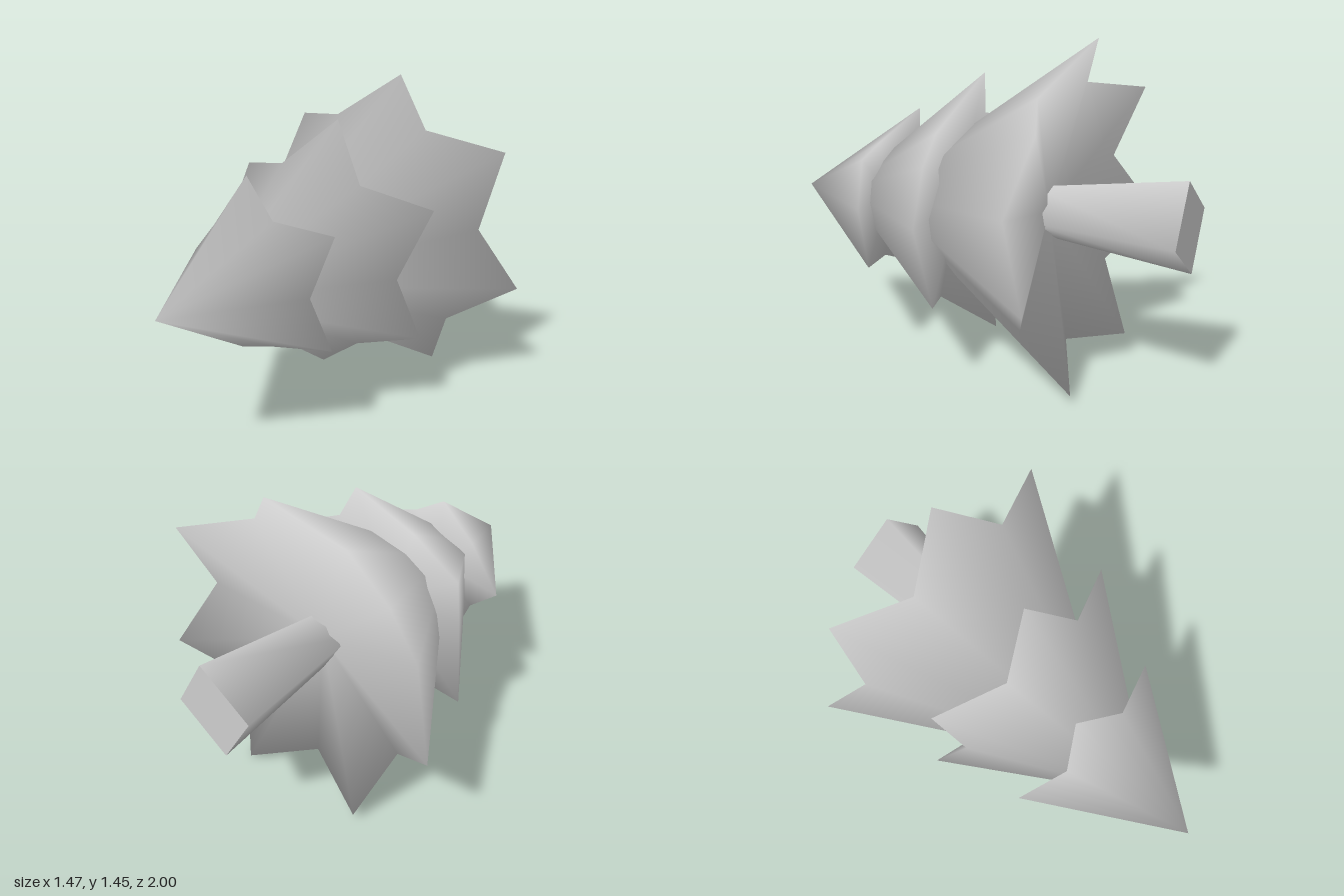
import * as THREE from 'three';

// The whole tree lies along a slightly tilted axis, tip towards +z
const axis = new THREE.Vector3(0.0175, -0.0125, 1).normalize();
const onAxis = (z) => new THREE.Vector3(0.0175 + 0.0175 * z, 0.69 - 0.0125 * z, z);

// Rim points alternate tip, valley; listed clockwise from the front as x, y
const tiers = [
  { name: 'topBoughs', apex: 1, tipZ: 0.37, valleyZ: 0.455, baseZ: 0.5, rim: [
    [-0.075, 1.1], [0.14, 0.955], [0.385, 0.915], [0.325, 0.665], [0.37, 0.415],
    [0.13, 0.4], [-0.135, 0.295], [-0.21, 0.535], [-0.4, 0.715], [-0.195, 0.88]] },
  { name: 'middleBoughs', apex: 0.77, tipZ: -0.08, valleyZ: 0.045, baseZ: 0.1, rim: [
    [0.065, 1.295], [0.275, 1.045], [0.565, 0.955], [0.47, 0.66], [0.52, 0.355], [0.265, 0.305],
    [-0.02, 0.09], [-0.215, 0.325], [-0.52, 0.43], [-0.415, 0.73], [-0.475, 1.03], [-0.155, 1.09]] },
  { name: 'bottomBoughs', apex: 0.58, tipZ: -0.605, valleyZ: -0.45, baseZ: -0.37, rim: [
    [0.055, 1.45], [0.295, 1.22], [0.625, 1.13], [0.59, 0.79], [0.73, 0.485], [0.445, 0.31], [0.29, 0],
    [-0.01, 0.11], [-0.36, 0.045], [-0.475, 0.365], [-0.735, 0.58], [-0.56, 0.87], [-0.545, 1.21], [-0.21, 1.25]] },
];

// Star-shaped cone with a hollowed underside and a soft, shared rim
function boughGeometry({ apex, tipZ, valleyZ, baseZ, rim }) {
  const n = rim.length;
  const points = [onAxis(apex), onAxis(baseZ)];
  const normals = [axis.clone(), axis.clone().negate()];
  const index = [];
  rim.forEach(([x, y], i) => {
    const z = (i % 2 ? valleyZ : tipZ) - 0.0175 * x + 0.0125 * (y - 0.7);
    const p = new THREE.Vector3(x, y, z);
    points.push(p);
    // rim normals point outwards and a little back
    normals.push(p.clone().sub(onAxis(z)).normalize().multiplyScalar(0.89).addScaledVector(axis, -0.45).normalize());
    const a = 2 + i, b = 2 + ((i + 1) % n);
    index.push(0, b, a, 1, a, b);
  });
  const g = new THREE.BufferGeometry().setFromPoints(points);
  g.setAttribute('normal', new THREE.Float32BufferAttribute(normals.flatMap((v) => v.toArray()), 3));
  g.setIndex(index);
  return g;
}

export function createModel() {
  const group = new THREE.Group();
  group.name = 'tree';
  const grey = new THREE.MeshStandardMaterial({ color: 0xcccccc });
  grey.name = 'light grey';

  for (const tier of tiers) {
    const mesh = new THREE.Mesh(boughGeometry(tier), grey);
    mesh.name = tier.name;
    group.add(mesh);
  }

  // Four-sided trunk, flaring towards the back
  const front = -0.3, back = -0.995;
  const trunk = new THREE.Mesh(
    new THREE.CylinderGeometry(0.115, 0.208, front - back, 4, 1, false, 1.37), grey);
  trunk.name = 'trunk';
  trunk.quaternion.setFromUnitVectors(new THREE.Vector3(0, 1, 0), axis);
  trunk.position.copy(onAxis((front + back) / 2));
  group.add(trunk);

  return group;
}
